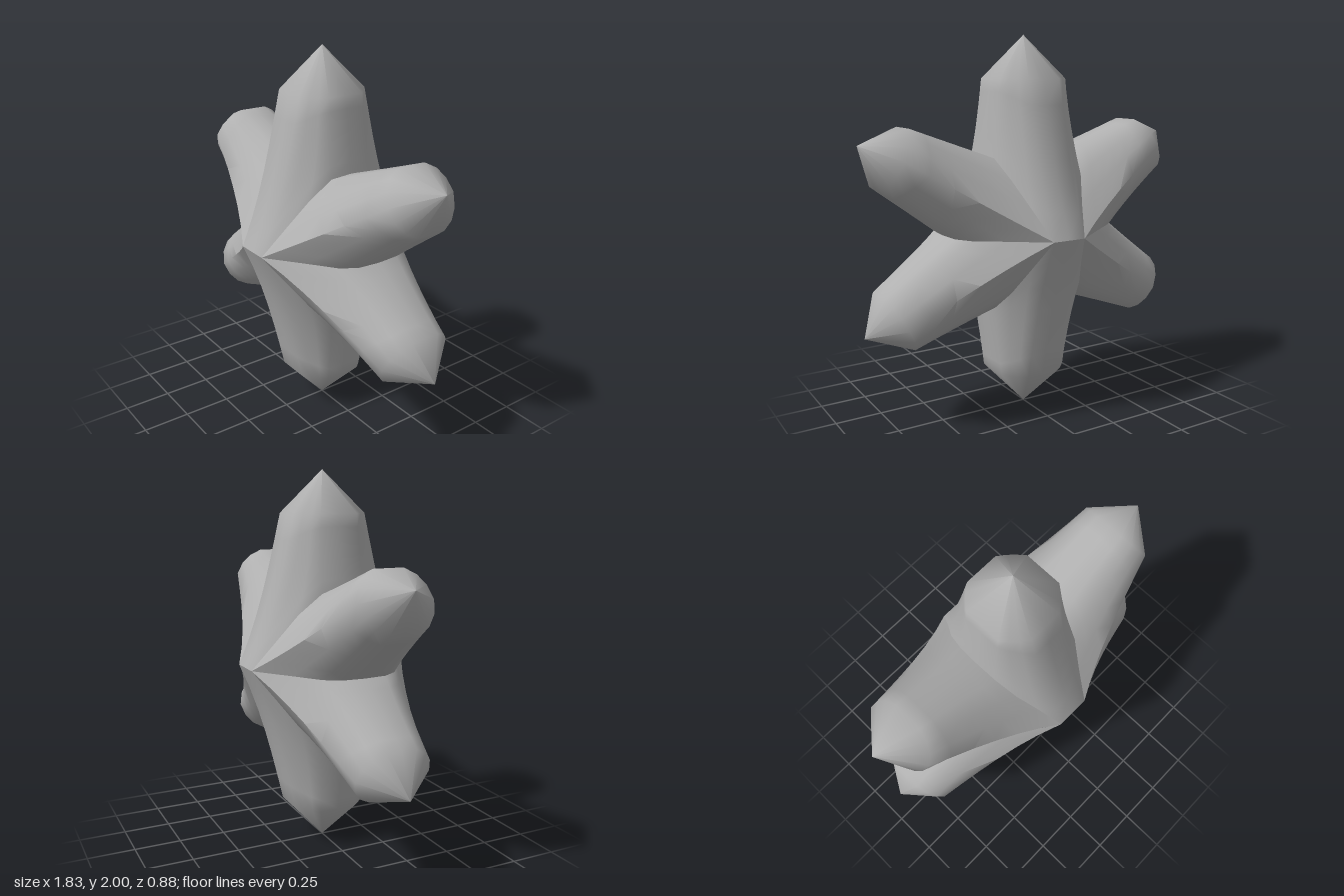
import * as THREE from 'three';
import { toCreasedNormals } from 'three/addons/utils/BufferGeometryUtils.js';

// Valley curves where neighbouring arms meet, from the rim (z = 0) to the front ridge
const UPPER_VALLEY = [[0.25, 1.4, 0], [0.245, 1.39, 0.12], [0.21, 1.29, 0.23], [0.15, 1.15, 0.33], [0.09, 1, 0.44]];
const SIDE_VALLEY = [[0.48, 1, 0], [0.47, 1, 0.12], [0.42, 1, 0.2], [0.28, 1, 0.3], [0.09, 1, 0.44]];

const mirrorX = (pts) => pts.map(([x, y, z]) => [-x, y, z]);

// Completes a front half outline into a closed ring, symmetric in z
const closeRing = (half) => [...half, ...half.slice(1, -1).reverse().map(([x, y, z]) => [x, y, -z])];

// Lofts an arm from its root ring to its shoulder ring and closes it with a point
function armGeometry(rootHalf, shoulderHalf, tip, sx, sy) {
  const root = closeRing(rootHalf), shoulder = closeRing(shoulderHalf);
  const n = root.length, steps = 6, pos = [], index = [];
  const put = (x, y, z) => pos.push(x * sx, 1 + (y - 1) * sy, z);
  const tri = (a, b, c) => (sx * sy > 0 ? index.push(a, b, c) : index.push(a, c, b));
  for (let i = 0; i <= steps; i++) {
    const t = i / steps;
    for (let j = 0; j < n; j++) {
      const [x, y, z] = root[j].map((v, k) => v + (shoulder[j][k] - v) * t);
      put(x, y, z * (1 - 0.28 * t * (1 - t))); // slightly concave front and back
    }
  }
  put(...tip);
  const tipIndex = (steps + 1) * n;
  for (let i = 0; i <= steps; i++) {
    for (let j = 0; j < n; j++) {
      const a = i * n + j, b = i * n + ((j + 1) % n);
      if (i === steps) tri(a, tipIndex, b);
      else {
        tri(a, a + n, b);
        tri(b, a + n, b + n);
      }
    }
  }
  const g = new THREE.BufferGeometry();
  g.setAttribute('position', new THREE.Float32BufferAttribute(pos, 3));
  g.setIndex(index);
  return toCreasedNormals(g, 0.95);
}

export function createModel() {
  const group = new THREE.Group();
  group.name = 'sixArmedCrystal';
  const stone = new THREE.MeshStandardMaterial({ color: 0xb0b0b0 });
  stone.name = 'grey stone';

  const add = (name, geometry) => {
    const mesh = new THREE.Mesh(geometry, stone);
    mesh.name = name;
    group.add(mesh);
  };

  // Vertical arms: rounded octagonal section with a flat front strip
  const quarter = [[0.195, 0], [0.195, 0.1], [0.165, 0.135], [0.13, 0.17], [0.09, 0.2]].map(([x, z]) => [x, 1.78, z]);
  const vRoot = [...UPPER_VALLEY, [0, 1, 0.44], ...mirrorX(UPPER_VALLEY).reverse()];
  const vShoulder = [...quarter, [0, 1.78, 0.2], ...mirrorX(quarter).reverse()];
  add('topArm', armGeometry(vRoot, vShoulder, [0, 2, 0], 1, 1));
  add('bottomArm', armGeometry(vRoot, vShoulder, [0, 2, 0], 1, -1));

  // Slanted side arms: their front narrows to a ridge at the centre
  const sRoot = [...SIDE_VALLEY, ...UPPER_VALLEY.slice(0, -1).reverse()];
  const sShoulder = [[-1, 0], [-1, 0.08], [-0.78, 0.14], [-0.45, 0.18], [0, 0.2], [0.45, 0.18], [0.78, 0.14], [1, 0.08], [1, 0]]
    .map(([s, z]) => [0.755 - 0.075 * s, 1.408 + 0.143 * s, z]);
  for (const [side, sx] of [['Left', 1], ['Right', -1]]) {
    for (const [level, sy] of [['upper', 1], ['lower', -1]]) {
      add(`${level}${side}Arm`, armGeometry(sRoot, sShoulder, [0.913, 1.475, 0], sx, sy));
    }
  }
  return group;
}
